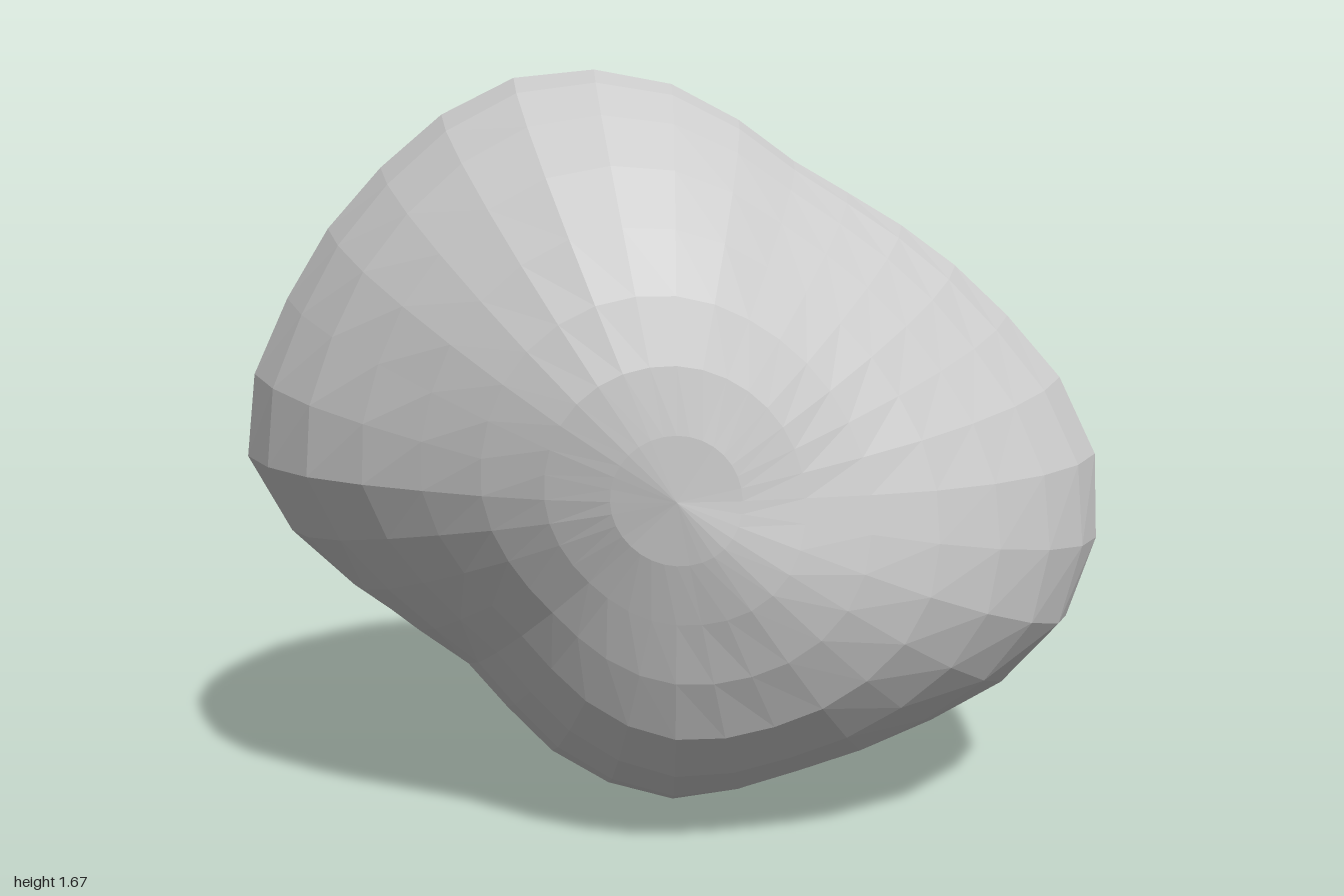
import * as THREE from 'three';

// Outline radius around the z axis, every 22.5 degrees from +x towards +y
const OUTLINE = [0.995, 0.844, 0.745, 0.725, 0.84, 0.925, 0.93, 0.953,
  0.985, 0.808, 0.685, 0.745, 0.8, 0.78, 0.86, 1.01];

// Radius in rows of 45 degrees around the z axis; columns run from front
// to back, at 22.5, 45, 67.5, 112.5, 135 and 157.5 degrees from the front pole
const BULGE = [
  [0.71, 0.795, 0.90, 0.98, 0.875, 0.73],
  [0.70, 0.705, 0.725, 0.735, 0.74, 0.695],
  [0.735, 0.785, 0.83, 0.825, 0.76, 0.70],
  [0.76, 0.815, 0.885, 0.895, 0.79, 0.695],
  [0.72, 0.77, 0.89, 0.95, 0.795, 0.675],
  [0.68, 0.67, 0.68, 0.70, 0.685, 0.665],
  [0.71, 0.78, 0.805, 0.81, 0.77, 0.715],
  [0.745, 0.825, 0.86, 0.87, 0.81, 0.735],
];
const FRONT_POLE = 0.705, BACK_POLE = 0.665;
const WAIST = OUTLINE.filter((_, i) => i % 2 === 0);

// Smooth curve through evenly spaced values
function spline(get, t) {
  const i = Math.floor(t), f = t - i;
  const [a, b, c, d] = [get(i - 1), get(i), get(i + 1), get(i + 2)];
  return b + 0.5 * f * (c - a + f * (2 * a - 5 * b + 4 * c - d + f * (3 * (b - c) + d - a)));
}
const loop = (list, turn) =>
  spline((i) => list[(i + list.length) % list.length], turn * list.length);

// Distance from the centre of the rock to its surface
function radius(turn, polar) {
  const waist = loop(WAIST, turn);
  const m = BULGE[0].map((_, c) => loop(BULGE.map((row) => row[c]), turn));
  const line = [FRONT_POLE, ...m.slice(0, 3), waist, ...m.slice(3), BACK_POLE];
  const mirror = (i) => line[i < 0 ? -i : i > 8 ? 16 - i : i];
  // The finer outline fades out towards the poles
  const detail = (loop(OUTLINE, turn) - waist) * Math.sin(polar) ** 3;
  return spline(mirror, (polar / Math.PI) * 8) + detail;
}

export function createModel() {
  const group = new THREE.Group();
  group.name = 'rock';
  const stone = new THREE.MeshStandardMaterial({ color: 0xcccccc });
  stone.name = 'light grey stone';

  // Sphere with its poles at front and back, pushed in and out into a lumpy boulder
  const sphere = new THREE.SphereGeometry(1, 32, 17).rotateX(Math.PI / 2);
  const pos = sphere.attributes.position;
  const v = new THREE.Vector3();
  for (let i = 0; i < pos.count; i++) {
    v.fromBufferAttribute(pos, i).normalize();
    const turn = (Math.atan2(v.y, v.x) / (2 * Math.PI) + 1) % 1;
    v.multiplyScalar(radius(turn, Math.acos(THREE.MathUtils.clamp(v.z, -1, 1))));
    pos.setXYZ(i, v.x, v.y, v.z);
  }

  // Separate facets for a faceted look, then stand it on the ground
  const facets = sphere.toNonIndexed();
  facets.computeVertexNormals();
  facets.computeBoundingBox();
  const { min, max } = facets.boundingBox;
  facets.translate(-(min.x + max.x) / 2, -min.y, -(min.z + max.z) / 2);

  const boulder = new THREE.Mesh(facets, stone);
  boulder.name = 'boulder';
  group.add(boulder);
  return group;
}
